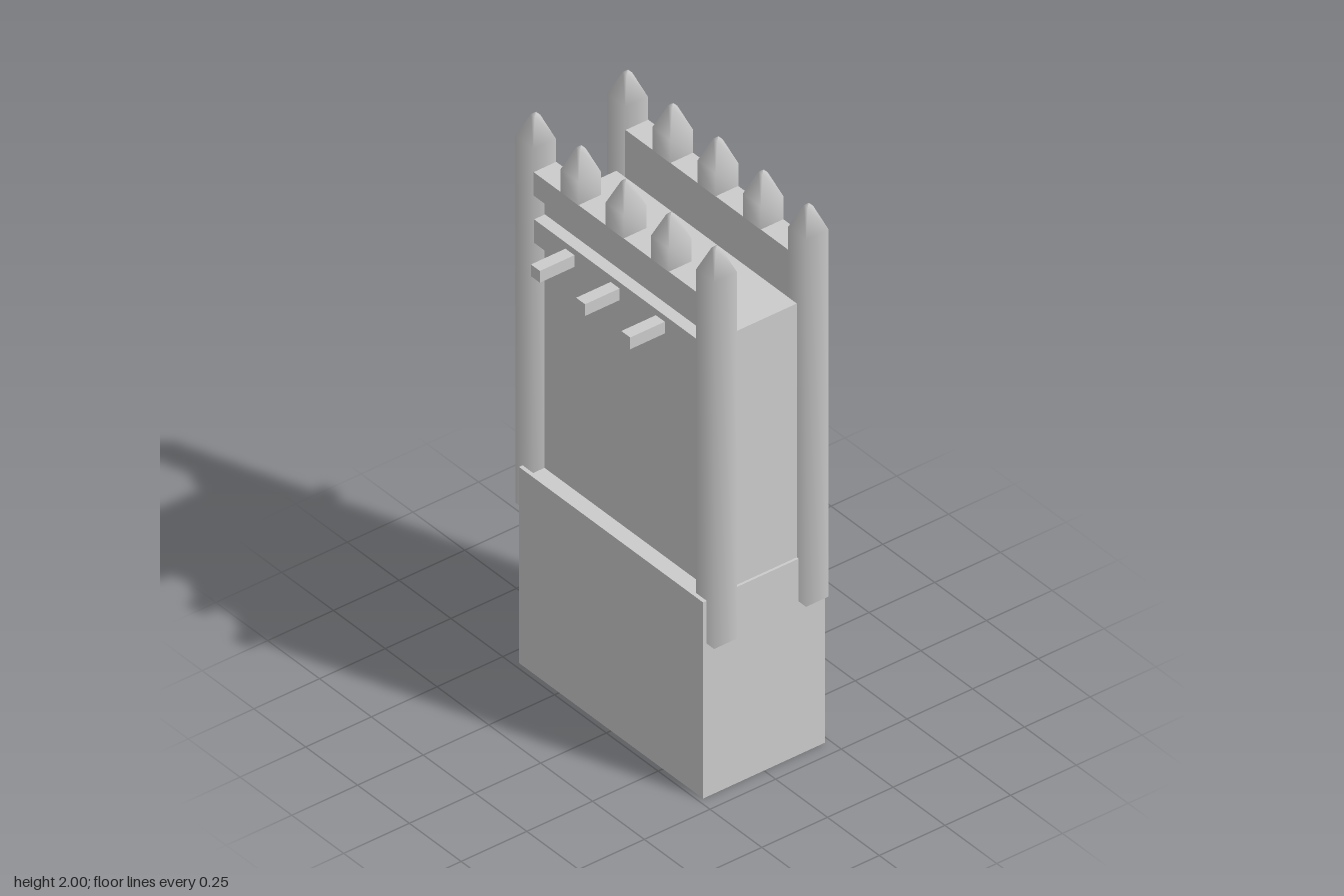
import * as THREE from 'three';

const material = new THREE.MeshStandardMaterial({ color: 0xcccccc, side: THREE.DoubleSide });

function box(name, w, h, d, x, y, z) {
  const mesh = new THREE.Mesh(new THREE.BoxGeometry(w, h, d), material);
  mesh.name = name;
  mesh.position.set(x, y, z);
  return mesh;
}

// Square post with a slightly blunted tip, softly shaded, open at the bottom
function stake(name, bottom, x, z) {
  const r = 0.0432 * Math.SQRT2;
  const profile = [[r, bottom], [r, 1.91], [0.014, 1.994], [0, 2]]
    .map(([px, py]) => new THREE.Vector2(px, py));
  const mesh = new THREE.Mesh(new THREE.LatheGeometry(profile, 4, Math.PI / 4), material);
  mesh.name = name;
  mesh.position.set(x, 0, z);
  return mesh;
}

export function createModel() {
  const model = new THREE.Group();
  model.name = 'palisadeTower';

  // Hollow base without a floor: drop the six indices of the bottom face
  const base = box('base', 0.888, 0.72, 0.464, 0, 0.36, 0);
  const index = Array.from(base.geometry.index.array);
  index.splice(18, 6);
  base.geometry.setIndex(index);
  base.geometry.clearGroups();
  model.add(base);

  // Wall core standing on the base
  model.add(box('wallCore', 0.87, 0.932, 0.264, 0, 1.186, 0));

  for (const side of [1, -1]) {
    const z = side * 0.175;
    // Solid panel between the corner posts, rising into a parapet
    model.add(box('wallPanel', 0.8, 1.104, 0.043, 0, 1.272, side * 0.1535));
    // Two horizontal planks proud of the panel
    model.add(box('lowerPlank', 0.782, 0.086, 0.083, 0, 1.609, z));
    model.add(box('upperPlank', 0.782, 0.086, 0.086, 0, 1.783, z));
    // Long corner posts
    for (const x of [-0.4365, 0.4365]) model.add(stake('cornerPost', 0.563, x, z));
    // Short pointed stakes on the upper plank
    for (const x of [-0.218, 0, 0.218]) model.add(stake('shortStake', 1.825, x, z));
  }

  // Beams running through the wall and sticking out on both sides
  for (const x of [-0.218, 0, 0.218]) {
    model.add(box('crossBeam', 0.043, 0.043, 0.696, x, 1.608, 0));
  }
  return model;
}
